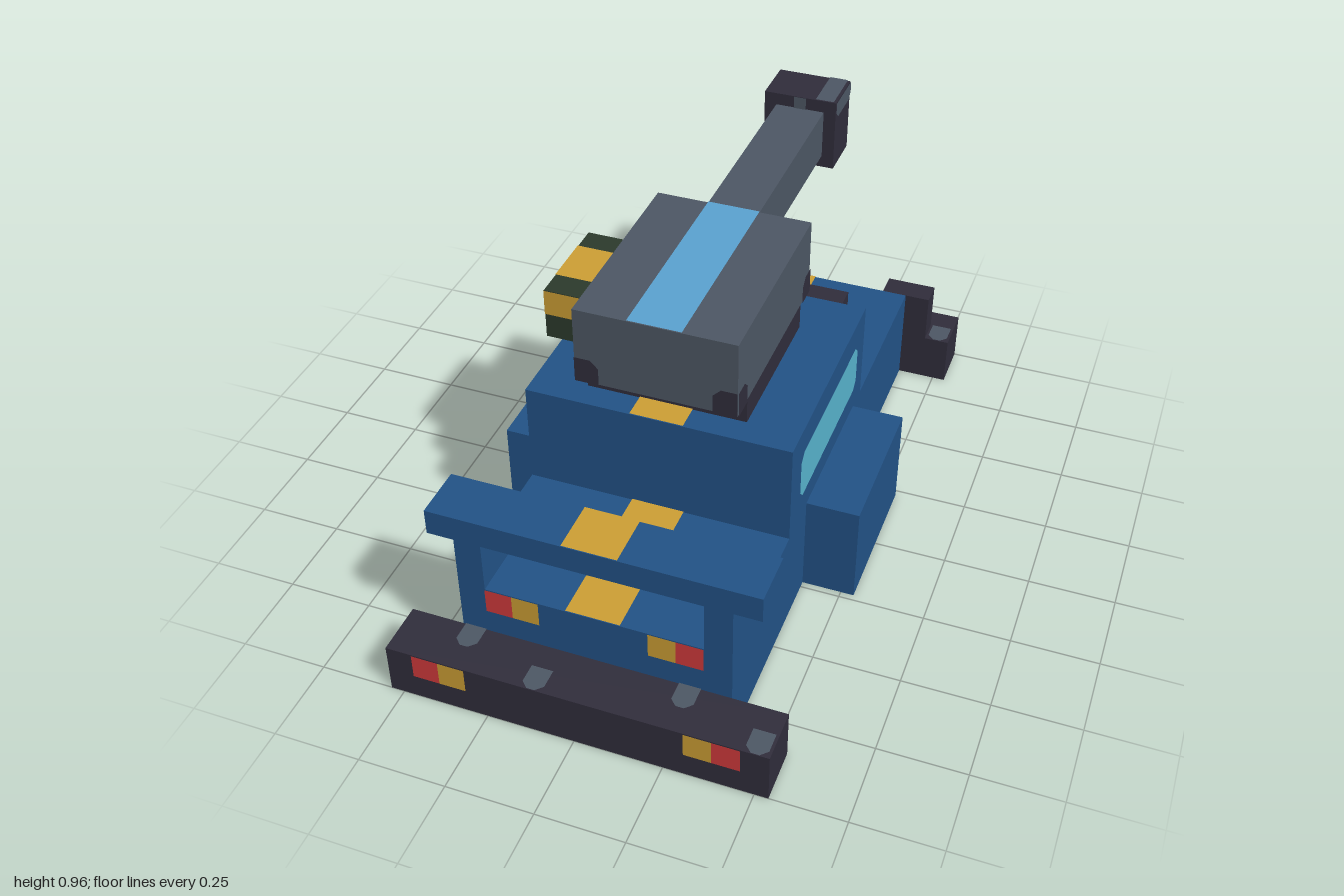
import * as THREE from 'three';

// All sizes below are in grid units; 13 units = 1 world unit.
const U = 1 / 13;

const mat = (name, color) => {
  const m = new THREE.MeshStandardMaterial({ color });
  m.name = name;
  return m;
};

export function createModel() {
  const blue = mat('blue paint', 0x225286);
  const dark = mat('dark trim', 0x302d3b);
  const grey = mat('gun metal', 0x4d5764);
  const amber = mat('amber', 0xcc9e34);
  const red = mat('red light', 0xcf3a3b);
  const glass = mat('window glass', 0x57b3cc);
  const sky = mat('light blue stripe', 0x5aa2d0);
  const green = mat('dark green', 0x2c3a2c);
  const cream = mat('cream lamp', 0xcac085);

  const model = new THREE.Group();
  model.name = 'tankCar';

  // Box given by its extents
  const box = (name, m, x0, x1, y0, y1, z0, z1) => {
    const g = new THREE.BoxGeometry((x1 - x0) * U, (y1 - y0) * U, (z1 - z0) * U);
    g.translate((x0 + x1) / 2 * U, (y0 + y1) / 2 * U, (z0 + z1) / 2 * U);
    const mesh = new THREE.Mesh(g, m);
    mesh.name = name;
    model.add(mesh);
  };

  // Painted face lying just outside a surface at distance d along an axis.
  // u runs to the viewer's right on that face, v runs up; cuts clip the
  // corners in the order bottom left, bottom right, top right, top left.
  const turns = {
    front: [0, 0], back: [0, Math.PI], left: [0, Math.PI / 2],
    right: [0, -Math.PI / 2], top: [-Math.PI / 2, 0],
  };
  const paint = (name, m, side, d, u0, u1, v0, v1, cuts = [0, 0, 0, 0]) => {
    const [a, b, c, e] = cuts;
    const pts = [
      [u0 + a, v0], [u1 - b, v0], [u1, v0 + b], [u1, v1 - c],
      [u1 - c, v1], [u0 + e, v1], [u0, v1 - e], [u0, v0 + a],
    ].filter((p, i, all) => {
      const q = all[(i + 7) % 8];
      return p[0] !== q[0] || p[1] !== q[1];
    });
    const g = new THREE.ShapeGeometry(
      new THREE.Shape(pts.map(([x, y]) => new THREE.Vector2(x * U, y * U))));
    g.translate(0, 0, d * U + 0.003);
    g.rotateX(turns[side][0]);
    g.rotateY(turns[side][1]);
    const mesh = new THREE.Mesh(g, m);
    mesh.name = name;
    model.add(mesh);
  };

  // Body, cab and turret
  box('body', blue, -5, 5, 0, 4, -11, 11);
  box('cab', blue, -5, 5, 4, 8, -4, 5);
  box('turretBase', dark, -3, 3, 8, 9, -2, 4);
  box('turret', grey, -3, 3, 9, 12, -3, 5);
  box('barrel', grey, -1, 1, 10, 12, -11, -3);
  box('muzzle', dark, -1.5, 1.5, 9.5, 12.5, -13, -11);
  box('hoodScoop', dark, -3, 3, 4, 5, -9, -5);
  box('tailBumper', dark, -7, 7, 0, 2, 11, 13);
  box('noseBumper', dark, -7, 7, 0, 2, -13, -11);
  box('wing', blue, -6, 6, 6, 7, 9, 11);

  // Box on the turret side with an amber band
  box('sideBox', green, -5, -3, 9, 11, -1, 3);
  paint('sideBoxBand', amber, 'top', 11, -5, -3, -2, 0);
  paint('sideBoxFront', amber, 'front', 3, -5, -3, 10, 11);
  paint('sideBoxBack', amber, 'back', 1, 3, 5, 10, 11);

  // Mirrored parts
  for (const s of [-1, 1]) {
    const pair = (name, m, a, b, ...rest) =>
      box(name, m, Math.min(s * a, s * b), Math.max(s * a, s * b), ...rest);
    const light = (name, m, side, d, a, b, ...rest) =>
      paint(name, m, side, d, Math.min(s * a, s * b), Math.max(s * a, s * b), ...rest);
    pair('sideSkirt', blue, 5, 7, 0, 4, -3, 3);
    pair('wingPost', blue, 4, 5, 4, 6, 9, 11);
    pair('lampBlock', dark, 4, 6, 2, 4, -12, -11);
    light('headLamp', cream, 'back', 12, 4, 6, 2, 4);
    light('tailLightRed', red, 'front', 11, 3, 4, 3, 4);
    light('tailLightAmber', amber, 'front', 11, 2, 3, 3, 4);
    light('bumperLightRed', red, 'front', 13, 5, 6, 1, 2);
    light('bumperLightAmber', amber, 'front', 13, 4, 5, 1, 2);
    light('noseLight', amber, 'back', 13, 5, 6, 1, 2, [0.2, 0.2, 0, 0]);
    light('scoopLight', amber, 'back', 9, 1, 2, 4, 5);
    light('scoopLightInner', amber, 'front', -5, 1, 2, 4, 5);
  }

  // Windows
  const round = [0.3, 0.3, 0.3, 0.3];
  paint('leftWindow', glass, 'left', 5, -4, 3, 5, 7, round);
  paint('rightWindow', glass, 'right', 5, -3, 4, 5, 7, round);
  paint('windscreen', glass, 'back', 4, -4, 4, 5, 7, round);

  // Centre stripe
  paint('tailStripe', amber, 'top', 4, -1, 1, -11, -5);
  paint('wingStripe', amber, 'top', 7, -1, 1, -11, -9);
  paint('roofStripe', amber, 'top', 8, -1, 1, -5, 4);
  paint('hoodStripe', amber, 'top', 4, -1, 1, 4, 11);
  paint('turretStripe', sky, 'top', 12, -1, 1, -5, 3);

  // Dark lower corners of the turret
  for (const [side, d, u0, u1] of [
    ['front', 5, -3, 3], ['back', 3, -3, 3], ['left', 3, -5, 3], ['right', 3, -3, 5],
  ]) {
    paint('turretCorner', dark, side, d, u0, u0 + 0.9, 9, 10, [0, 0, 0.3, 0]);
    paint('turretCorner', dark, side, d, u1 - 0.9, u1, 9, 10, [0, 0, 0, 0.3]);
  }

  // Grille on the nose with studs and lights
  const hang = [0.25, 0.25, 0, 0];
  paint('grille', dark, 'back', 11, -4, 4, 2, 4);
  for (const u of [-3.6, 3.6])
    paint('grilleLight', amber, 'back', 11.04, u - 0.4, u + 0.4, 3, 4);
  for (const u of [-2, 0, 2])
    paint('grilleStud', grey, 'back', 11.04, u - 0.4, u + 0.4, 3, 4, hang);
  for (const u of [-4, -2, 0, 2, 4])
    paint('noseStud', grey, 'back', 13, u - 0.4, u + 0.4, 1, 2, hang);
  paint('scoopStud', grey, 'back', 9, -0.4, 0.4, 4, 5, hang);

  // Worn patches on the bumper tops
  [-5, -2, 3, 6].forEach((x, i) => {
    const k = i % 2;
    paint('tailBumperPatch', grey, 'top', 2, x + 0.1, x + 0.9, -12 - k, -11 - k, hang);
    paint('noseBumperPatch', grey, 'top', 2, x + 0.1, x + 0.9, 12 - k, 13 - k, hang);
  });

  // Worn patches on the muzzle
  paint('muzzlePatch', grey, 'top', 12.5, 0.65, 1.4, 11, 13);
  paint('muzzlePatch', grey, 'front', -11, -0.25, 0.25, 12, 12.5);
  paint('muzzlePatch', grey, 'left', 1.5, 11, 13, 11.8, 12.5, hang);

  return model;
}
